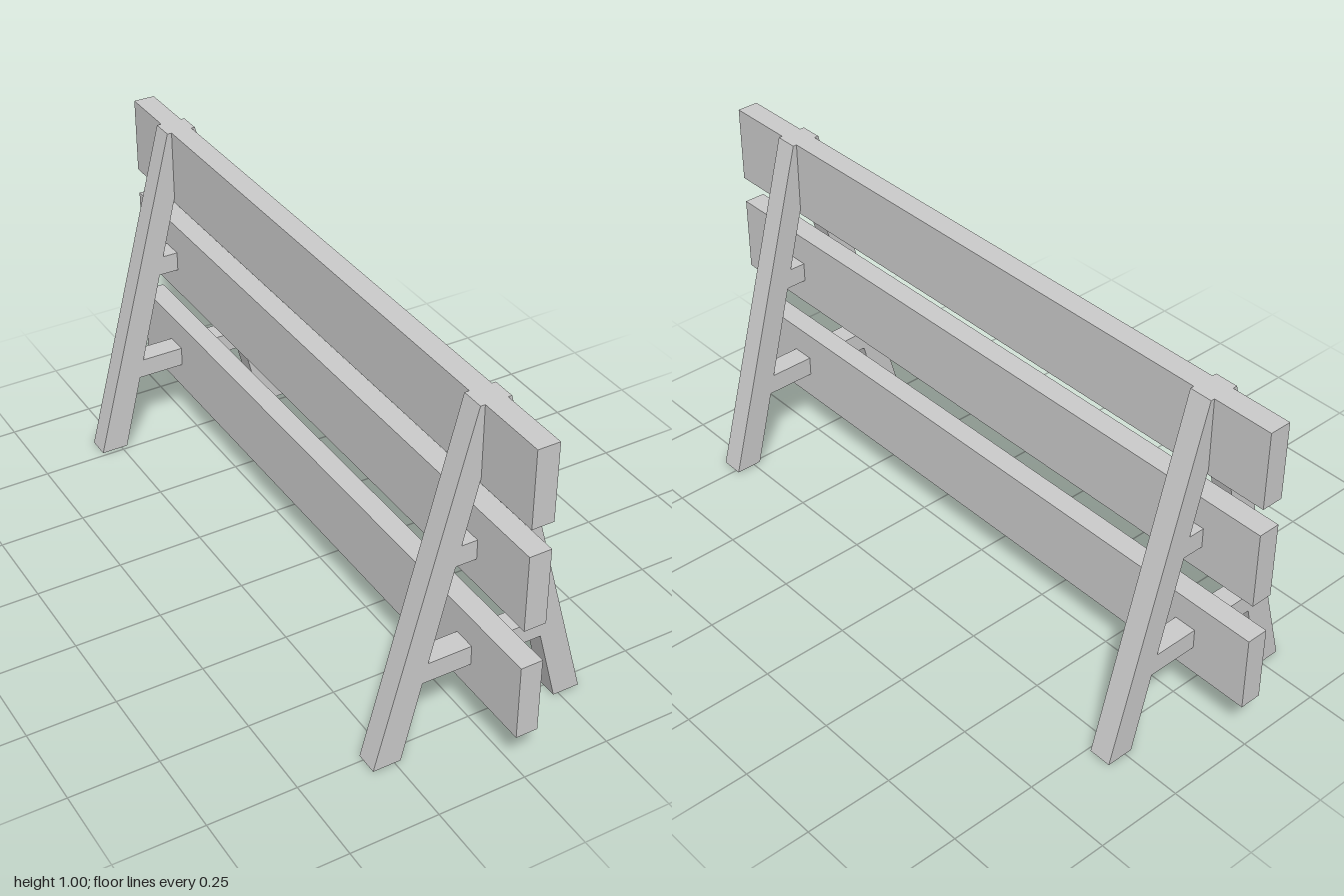
import * as THREE from 'three';

const material = new THREE.MeshStandardMaterial({ color: 0xcccccc, flatShading: true });

// Plank faces in x; the frames butt against them
const FACE_L = 0.027, FACE_R = -0.035;
const FRAME_DEPTH = 0.065;
const RUNGS = [[0.228, 0.286], [0.558, 0.615]];

// Slanted leg with two rungs reaching in to the planks, as one outline
function halfFrame(name, { face, outerFoot, innerFoot, outerTop, footY }, z) {
  const innerX = y => THREE.MathUtils.mapLinear(y, footY, 0.795, innerFoot, face);
  const points = [[outerFoot, footY], [innerFoot, footY]];
  for (const [low, high] of RUNGS) {
    points.push([innerX(low), low], [face, low], [face, high], [innerX(high), high]);
  }
  points.push([face, 0.795], [face, 1], [outerTop, 1]);
  const shape = new THREE.Shape(points.map(p => new THREE.Vector2(...p)));
  const geometry = new THREE.ExtrudeGeometry(shape, { depth: FRAME_DEPTH, bevelEnabled: false });
  const mesh = new THREE.Mesh(geometry, material);
  mesh.name = name;
  mesh.position.z = z - FRAME_DEPTH / 2;
  return mesh;
}

function plank(name, bottom, top) {
  const mesh = new THREE.Mesh(new THREE.BoxGeometry(FACE_L - FACE_R, top - bottom, 2), material);
  mesh.name = name;
  mesh.position.set((FACE_L + FACE_R) / 2, (bottom + top) / 2, 0);
  return mesh;
}

export function createModel() {
  const model = new THREE.Group();
  model.name = 'plankBarrier';

  // Three long planks
  model.add(
    plank('topPlank', 0.78, 1),
    plank('middlePlank', 0.483, 0.702),
    plank('bottomPlank', 0.148, 0.368),
  );

  // A-frames near both ends
  const left = { face: FACE_L, outerFoot: 0.31, innerFoot: 0.232, outerTop: 0.038, footY: 0.005 };
  const right = { face: FACE_R, outerFoot: -0.312, innerFoot: -0.232, outerTop: -0.048, footY: 0 };
  for (const [name, z] of [['frontFrame', 0.765], ['backFrame', -0.795]]) {
    const frame = new THREE.Group();
    frame.name = name;
    frame.add(halfFrame('leftLegAndRungs', left, z), halfFrame('rightLegAndRungs', right, z));
    model.add(frame);
  }
  return model;
}
